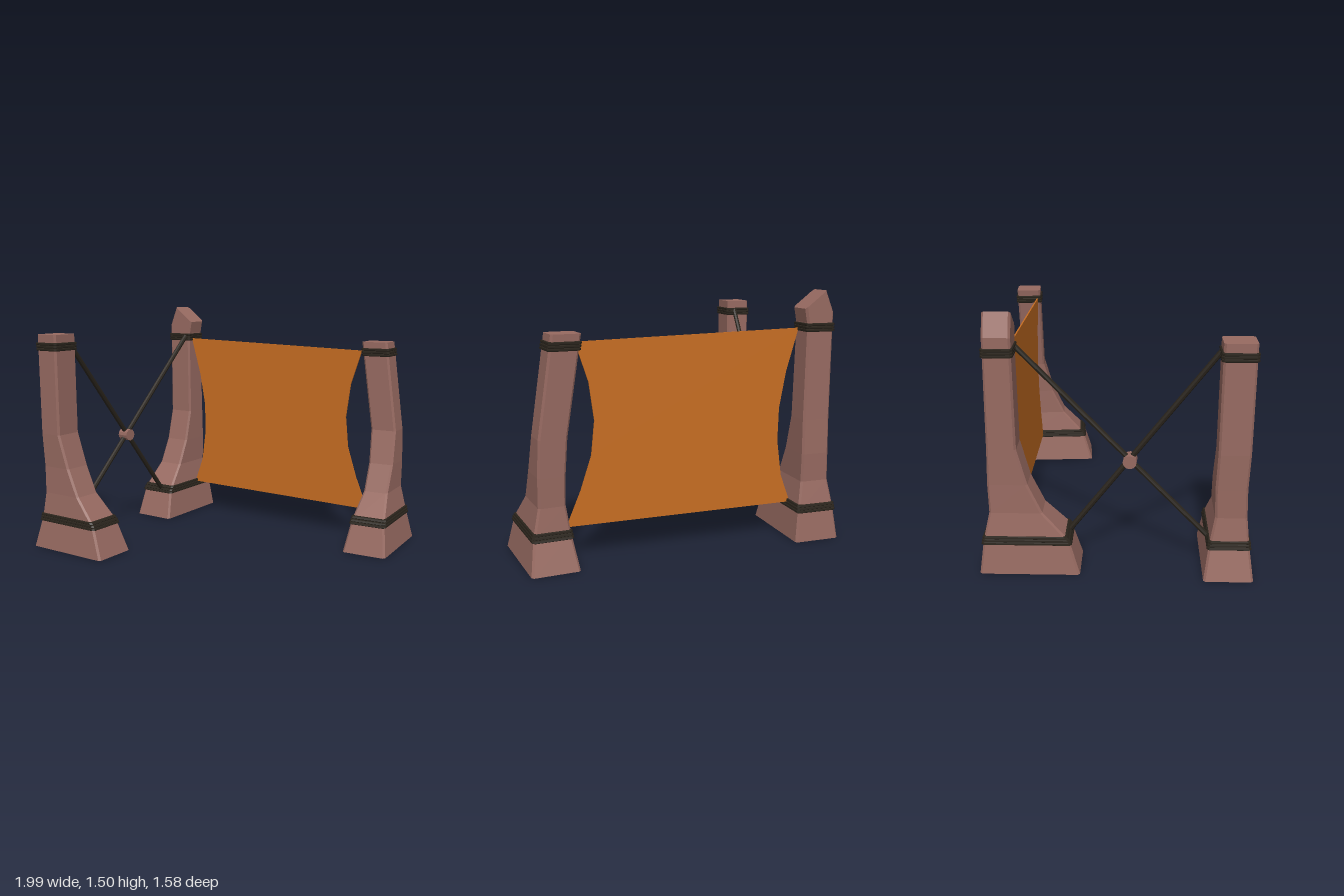
import * as THREE from 'three';

const stone = new THREE.MeshStandardMaterial({ color: 0x976a61, flatShading: true, side: THREE.DoubleSide });
stone.name = 'dusty red stone';
const dark = new THREE.MeshStandardMaterial({ color: 0x29231b, flatShading: true, side: THREE.DoubleSide });
dark.name = 'dark strap';
const orange = new THREE.MeshStandardMaterial({ color: 0xc86e22, side: THREE.DoubleSide });
orange.name = 'orange cloth';

function add(parent, name, geometry, material) {
  const m = new THREE.Mesh(geometry, material);
  m.name = name;
  parent.add(m);
  return m;
}

// Rectangle with chamfered corners from a section [y, x0, x1, z0, z1, yAtX1]
function ring([y, x0, x1, z0, z1, yR = y], c = 0.012) {
  return [
    [x1, z1 - c], [x1, z0 + c], [x1 - c, z0], [x0 + c, z0],
    [x0, z0 + c], [x0, z1 - c], [x0 + c, z1], [x1 - c, z1],
  ].map(([x, z]) => [x, y + (yR - y) * (x - x0) / (x1 - x0), z]);
}

// Skin a stack of rings, optionally closing the top
function loft(rings, cap) {
  const pos = [];
  const tri = (a, b, c) => pos.push(...a, ...b, ...c);
  for (let i = 0; i < rings.length - 1; i++) {
    const lo = rings[i], hi = rings[i + 1];
    for (let j = 0; j < lo.length; j++) {
      const k = (j + 1) % lo.length;
      tri(lo[j], lo[k], hi[k]);
      tri(lo[j], hi[k], hi[j]);
    }
  }
  if (cap) {
    const t = rings[rings.length - 1];
    for (let j = 1; j < t.length - 1; j++) tri(t[0], t[j], t[j + 1]);
  }
  const g = new THREE.BufferGeometry();
  g.setAttribute('position', new THREE.Float32BufferAttribute(pos, 3));
  g.computeVertexNormals();
  return g;
}

// Section of a pillar at height y, grown outwards by d
function sectionAt(sections, y, d) {
  let i = 0;
  while (i < sections.length - 2 && sections[i + 1][0] < y) i++;
  const a = sections[i], b = sections[i + 1];
  const t = (y - a[0]) / (b[0] - a[0]);
  const s = [1, 2, 3, 4].map((n) => a[n] + (b[n] - a[n]) * t);
  return [y, s[0] - d, s[1] + d, s[2] - d, s[3] + d];
}

// Triple-ridged strap around a pillar
function band(sections, yMid) {
  const h = 0.017, rings = [];
  const put = (y, d) => rings.push(ring(sectionAt(sections, y, d)));
  const y0 = yMid - 1.5 * h;
  put(y0, -0.02);
  for (let i = 0; i < 3; i++) {
    put(y0 + i * h, 0.003);
    put(y0 + (i + 0.2) * h, 0.009);
    put(y0 + (i + 0.8) * h, 0.009);
  }
  put(y0 + 3 * h, 0.003);
  put(y0 + 3 * h, -0.02);
  put(y0, -0.02);
  return loft(rings, false);
}

function pillar(name, sections, topBand) {
  const g = new THREE.Group();
  g.name = name;
  add(g, 'pillarBody', loft(sections.map((s) => ring(s)), true), stone);
  add(g, 'lowerBand', band(sections, 0.2), dark);
  add(g, 'upperBand', band(sections, topBand), dark);
  return g;
}

export function createModel() {
  const model = new THREE.Group();
  model.name = 'pillarsWithBanner';

  model.add(pillar('frontRightPillar', [
    [0, -1, -0.43, 0.505, 0.785],
    [0.2, -0.945, -0.505, 0.535, 0.76],
    [0.36, -0.925, -0.64, 0.565, 0.745],
    [0.53, -0.93, -0.72, 0.56, 0.74],
    [0.74, -0.938, -0.782, 0.568, 0.748],
    [1.365, -0.94, -0.782, 0.573, 0.753],
  ], 1.29));

  // Pillar with a tilted top
  model.add(pillar('backRightPillar', [
    [0, -0.945, -0.66, -0.76, -0.19],
    [0.2, -0.92, -0.685, -0.735, -0.25],
    [0.36, -0.895, -0.715, -0.70, -0.40],
    [0.53, -0.89, -0.715, -0.705, -0.48],
    [0.74, -0.89, -0.717, -0.70, -0.535],
    [1.27, -0.895, -0.727, -0.695, -0.54],
    [1.375, -0.897, -0.725, -0.695, -0.54, 1.32],
    [1.505, -0.845, -0.71, -0.695, -0.54, 1.4],
  ], 1.29));

  // Leaning pillar, slightly turned
  const leaning = pillar('backLeftPillar', [
    [0, -0.14, 0.14, -0.283, 0.283],
    [0.2, -0.108, 0.108, -0.222, 0.222],
    [0.36, -0.084, 0.074, -0.206, 0.078],
    [0.53, -0.085, 0.075, -0.211, -0.003],
    [0.74, -0.098, 0.068, -0.215, -0.061],
    [1.305, -0.181, -0.011, -0.228, -0.072],
  ], 1.24);
  leaning.position.set(0.835, 0, -0.503);
  leaning.rotation.y = 0.075;
  model.add(leaning);

  // Banner with drawn-in sides
  const cloth = new THREE.Shape([
    [-0.725, 1.28], [-0.65, 1.02], [-0.61, 0.8], [-0.605, 0.6], [-0.635, 0.38], [-0.7, 0.205],
    [0.71, 0.195], [0.625, 0.4], [0.56, 0.6], [0.54, 0.8], [0.57, 1.02], [0.645, 1.247],
  ].map(([x, y]) => new THREE.Vector2(x, y)));
  const banner = add(model, 'banner',
    new THREE.ExtrudeGeometry(cloth, { depth: 0.009, bevelEnabled: false }), orange);
  banner.position.z = -0.585;

  // Crossed rods between the two right pillars
  const along = (z, y) => new THREE.Vector3(-0.8 - 0.068 * (z - 0.085), y, z);
  const rod = (name, a, b) => {
    const dir = b.clone().sub(a);
    const m = add(model, name, new THREE.CylinderGeometry(0.016, 0.016, dir.length(), 8), dark);
    m.position.copy(a).add(b).multiplyScalar(0.5);
    m.quaternion.setFromUnitVectors(new THREE.Vector3(0, 1, 0), dir.normalize());
  };
  rod('fallingRod', along(0.58, 1.305), along(-0.27, 0.185));
  rod('risingRod', along(-0.55, 1.305), along(0.55, 0.185));

  // Hub where the rods cross
  const hub = add(model, 'crossHub',
    new THREE.CylinderGeometry(0.039, 0.039, 0.075, 12).rotateZ(Math.PI / 2), stone);
  hub.position.copy(along(0.09, 0.65));
  hub.rotation.y = -0.068;

  return model;
}
